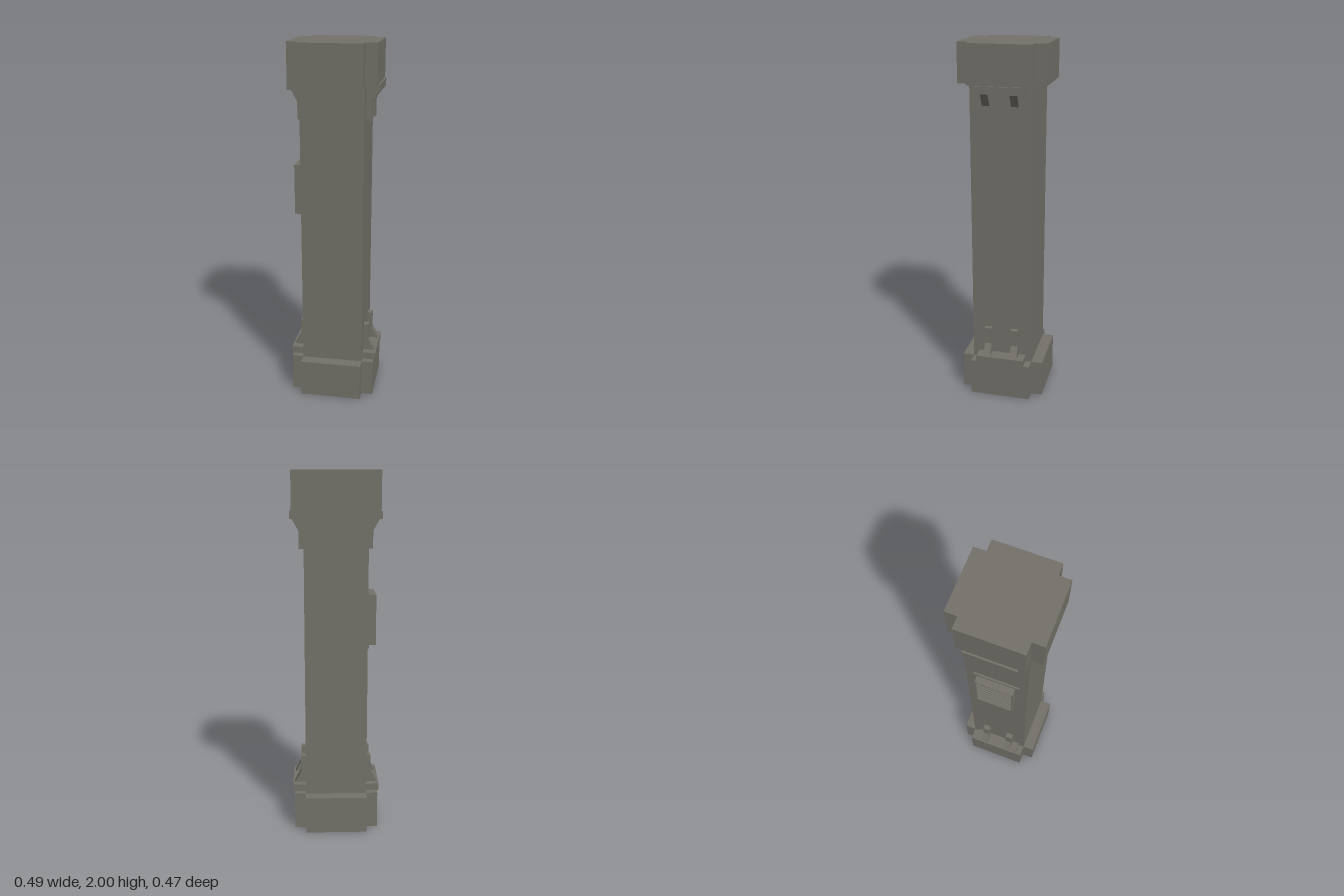
import * as THREE from 'three';

export function createModel() {
  const model = new THREE.Group();
  model.name = 'column';
  const stone = new THREE.MeshStandardMaterial({ color: 0x74726a });
  stone.name = 'warm grey';

  const add = (parent, name, geometry, x = 0, y = 0, z = 0) => {
    const mesh = new THREE.Mesh(geometry, stone);
    mesh.name = name;
    mesh.position.set(x, y, z);
    parent.add(mesh);
    return mesh;
  };
  const polygon = (points) => new THREE.Shape(points.map(([x, y]) => new THREE.Vector2(x, y)));
  const extrude = (shape, depth) =>
    new THREE.ExtrudeGeometry(shape, { depth, bevelEnabled: false });

  // Square shaft
  const half = 0.171, outer = 0.235, capHeight = 0.21;
  add(model, 'shaft', new THREE.BoxGeometry(half * 2, 2 - capHeight * 2, half * 2), 0, 1, 0);

  // Plus-shaped caps at both ends
  const plus = polygon([
    [half, -outer], [half, -half], [outer, -half], [outer, half], [half, half], [half, outer],
    [-half, outer], [-half, half], [-outer, half], [-outer, -half], [-half, -half], [-half, -outer],
  ]);
  const capGeometry = extrude(plus, capHeight).rotateX(-Math.PI / 2);
  add(model, 'baseCap', capGeometry, 0, 0, 0);
  add(model, 'topCap', capGeometry, 0, 2 - capHeight, 0);

  // Brackets: a ledge plate with two flared ribs, at both ends of both sides
  const ribShape = polygon([
    [0.165, 0.25], [0.235, 0.25], [0.199, 0.315], [0.199, 0.41], [0.165, 0.41],
  ]);
  const ribGeometry = extrude(ribShape, 0.04).translate(0, 0, -0.02);
  const plateGeometry = new THREE.BoxGeometry(0.08, 0.04, 0.274);
  for (const top of [false, true]) {
    for (const side of [0, 1]) {
      const bracket = new THREE.Group();
      bracket.name = (top ? 'top' : 'base') + (side ? 'Right' : 'Left') + 'Bracket';
      add(bracket, 'ledge', plateGeometry, 0.205, 0.23, 0);
      for (const z of [-0.077, 0.077]) add(bracket, 'rib', ribGeometry, 0, 0, z);
      // Half turns carry the bracket to the other side and the other end
      if (top) {
        bracket.rotation.set(Math.PI, side ? Math.PI : 0, 0);
        bracket.position.y = 2;
      } else {
        bracket.rotation.y = side ? Math.PI : 0;
      }
      model.add(bracket);
    }
  }

  // Louvred vent on the right side, built facing +z and turned to -x
  const vent = new THREE.Group();
  vent.name = 'vent';
  add(vent, 'backPlate', new THREE.BoxGeometry(0.25, 0.305, 0.012), 0, 0, 0.004);
  const w = 0.105, h = 0.139, rim = 0.007;
  const frame = polygon([[-w, -h], [w, -h], [w, h], [-w, h]]);
  const a = w - rim, b = h - rim;
  frame.holes.push(polygon([[-a, -b], [-a, b], [a, b], [a, -b]]));
  add(vent, 'ventFrame', extrude(frame, 0.049));
  const slats = 8, pitch = (b * 2) / slats;
  const slatShape = polygon([
    [0, 0], [0.047, 0.002], [0.047, 0.008], [0.024, pitch * 0.95], [0, pitch * 0.95],
  ]);
  // The slat profile's outward axis becomes +z
  const slatGeometry = extrude(slatShape, a * 2).translate(0, 0, -a).rotateY(-Math.PI / 2);
  for (let i = 0; i < slats; i++) add(vent, 'slat', slatGeometry, 0, -b + i * pitch, 0);
  vent.rotation.y = -Math.PI / 2;
  vent.position.set(-half, 1.202, 0);
  model.add(vent);

  return model;
}
